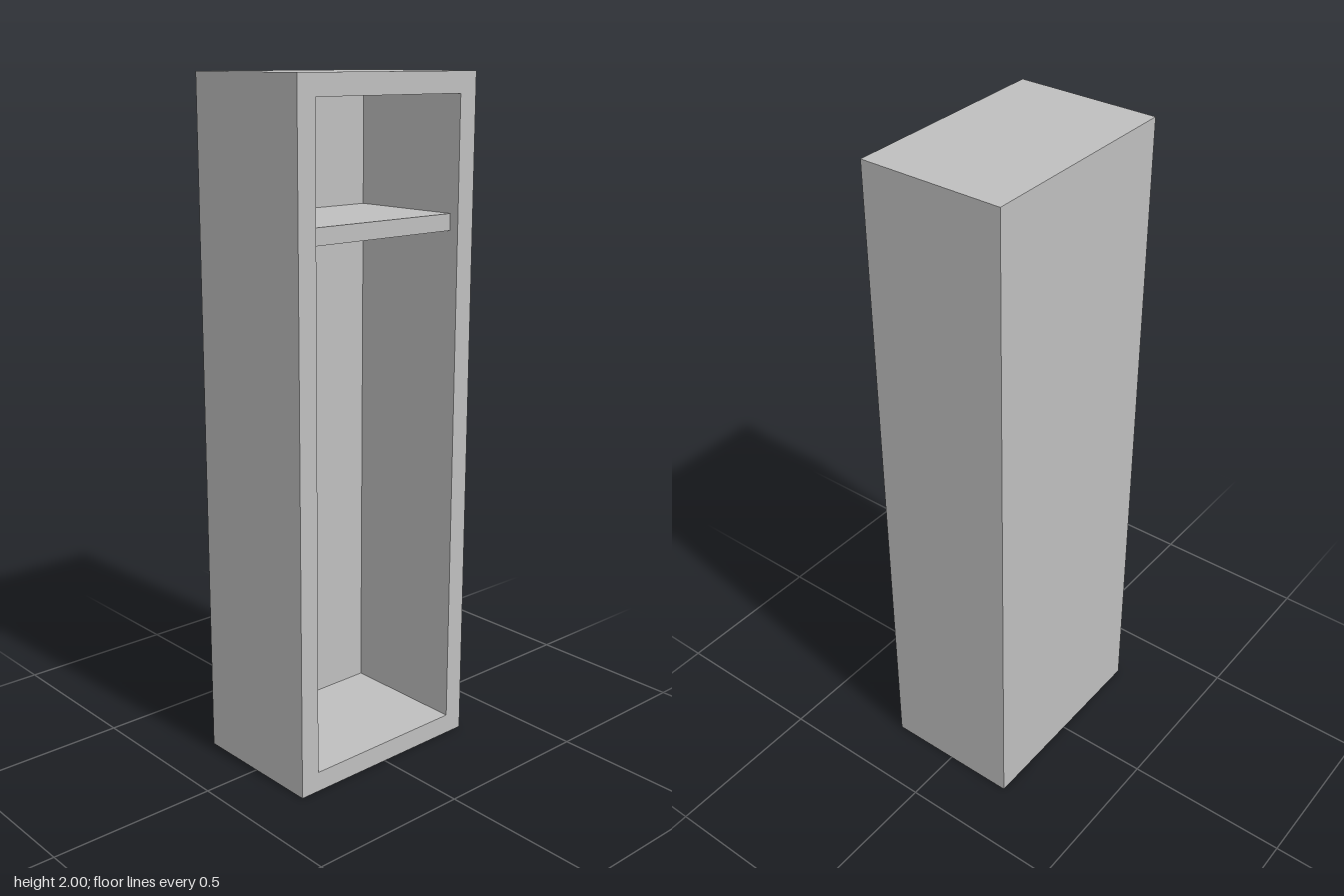
import * as THREE from 'three';

const W = 0.644, H = 2, D = 0.424;   // outer size
const WALL = 0.06, BACK = 0.03;      // wall and back panel thickness

export function createModel() {
  const group = new THREE.Group();
  group.name = 'openCabinet';
  const grey = new THREE.MeshStandardMaterial({ color: 0xbfbfbf });
  grey.name = 'light grey';

  const add = (name, geometry, x, y, z) => {
    const mesh = new THREE.Mesh(geometry, grey);
    mesh.name = name;
    mesh.position.set(x, y, z);
    group.add(mesh);
  };
  const rect = (path, w, y0, y1) => path
    .moveTo(-w / 2, y0).lineTo(w / 2, y0).lineTo(w / 2, y1).lineTo(-w / 2, y1).closePath();

  // Sides, top and bottom as one seamless frame around the opening
  const outline = rect(new THREE.Shape(), W, 0, H);
  outline.holes.push(rect(new THREE.Path(), W - 2 * WALL, WALL, H - WALL));
  const frame = new THREE.ExtrudeGeometry(outline, { depth: D - BACK, bevelEnabled: false });
  add('frame', frame, 0, 0, -D / 2 + BACK);

  // Panel closing the rear
  add('backPanel', new THREE.BoxGeometry(W, H, BACK), 0, H / 2, -D / 2 + BACK / 2);

  // Upper shelf, set back a little from the front edge
  const shelfDepth = D - BACK - 0.03;
  add('shelf', new THREE.BoxGeometry(W - 2 * WALL, 0.048, shelfDepth),
    0, 1.586, -D / 2 + BACK + shelfDepth / 2);

  return group;
}
